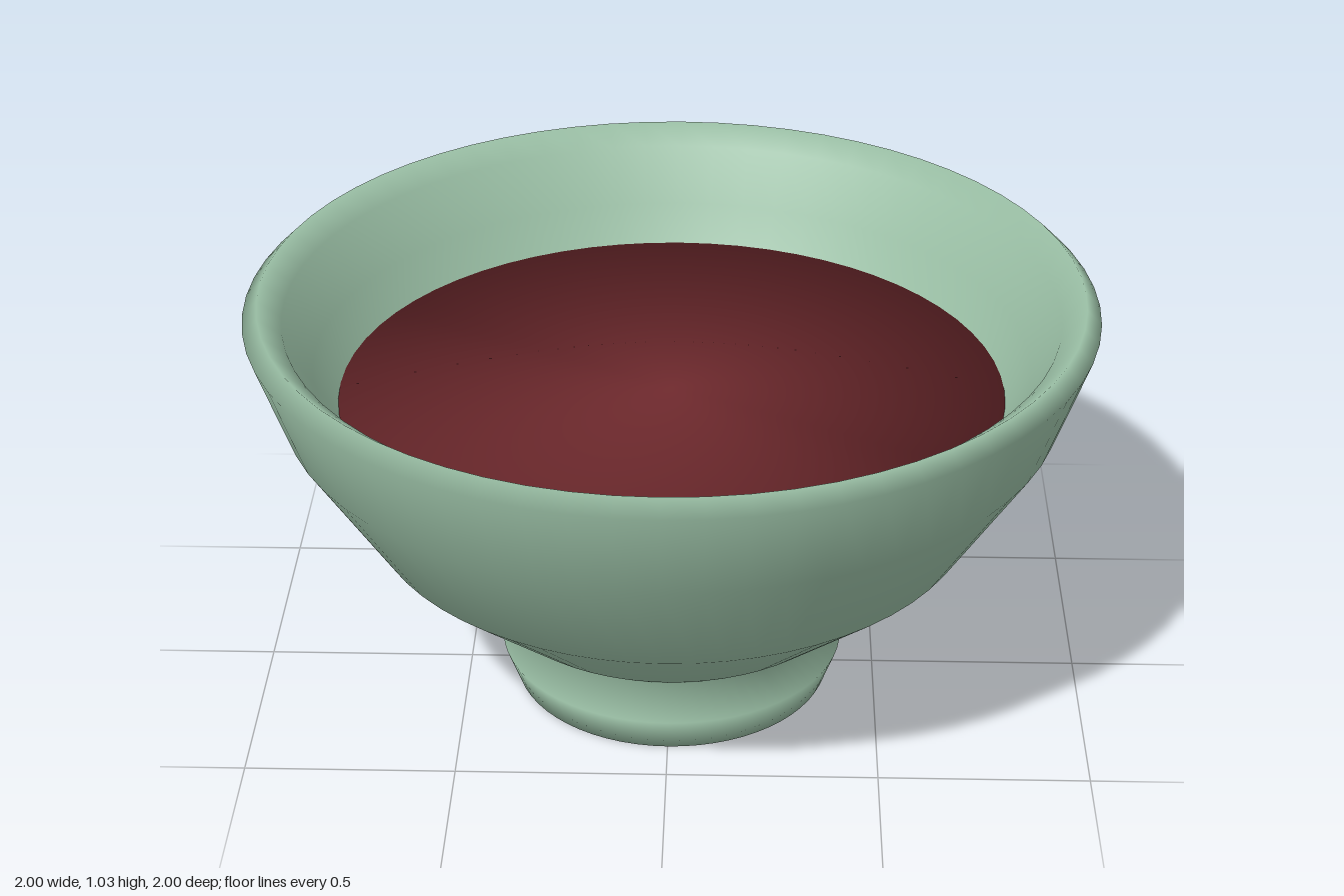
import * as THREE from 'three';

const SEGMENTS = 64;

// Surface of revolution from a list of [radius, height] points
function lathe(name, points, color) {
  const profile = points.map(([r, y]) => new THREE.Vector2(r, y));
  const geometry = new THREE.LatheGeometry(profile, SEGMENTS);
  const material = new THREE.MeshStandardMaterial({ color, side: THREE.DoubleSide });
  const mesh = new THREE.Mesh(geometry, material);
  mesh.name = name;
  return mesh;
}

export function createModel() {
  const group = new THREE.Group();
  group.name = 'filledBowl';

  // Foot, outer wall, lip, then the inner wall back down to the axis
  group.add(lathe('bowl', [
    [0, 0], [0.385, 0], [0.418, 0.09], [0.345, 0.155],
    [0.46, 0.235], [0.728, 0.465], [0.92, 0.77], [1, 1], [0.965, 1.035],
    [0.91, 0.99], [0.845, 0.86], [0.785, 0.76],
    [0.62, 0.5], [0.36, 0.3], [0, 0.24],
  ], 0x9abfa5));

  // Filling: flat top with softly shaded rim, tapering underneath
  group.add(lathe('filling', [[0, 0.45], [0.79, 0.77], [0, 0.77]], 0x702a2e));

  return group;
}
